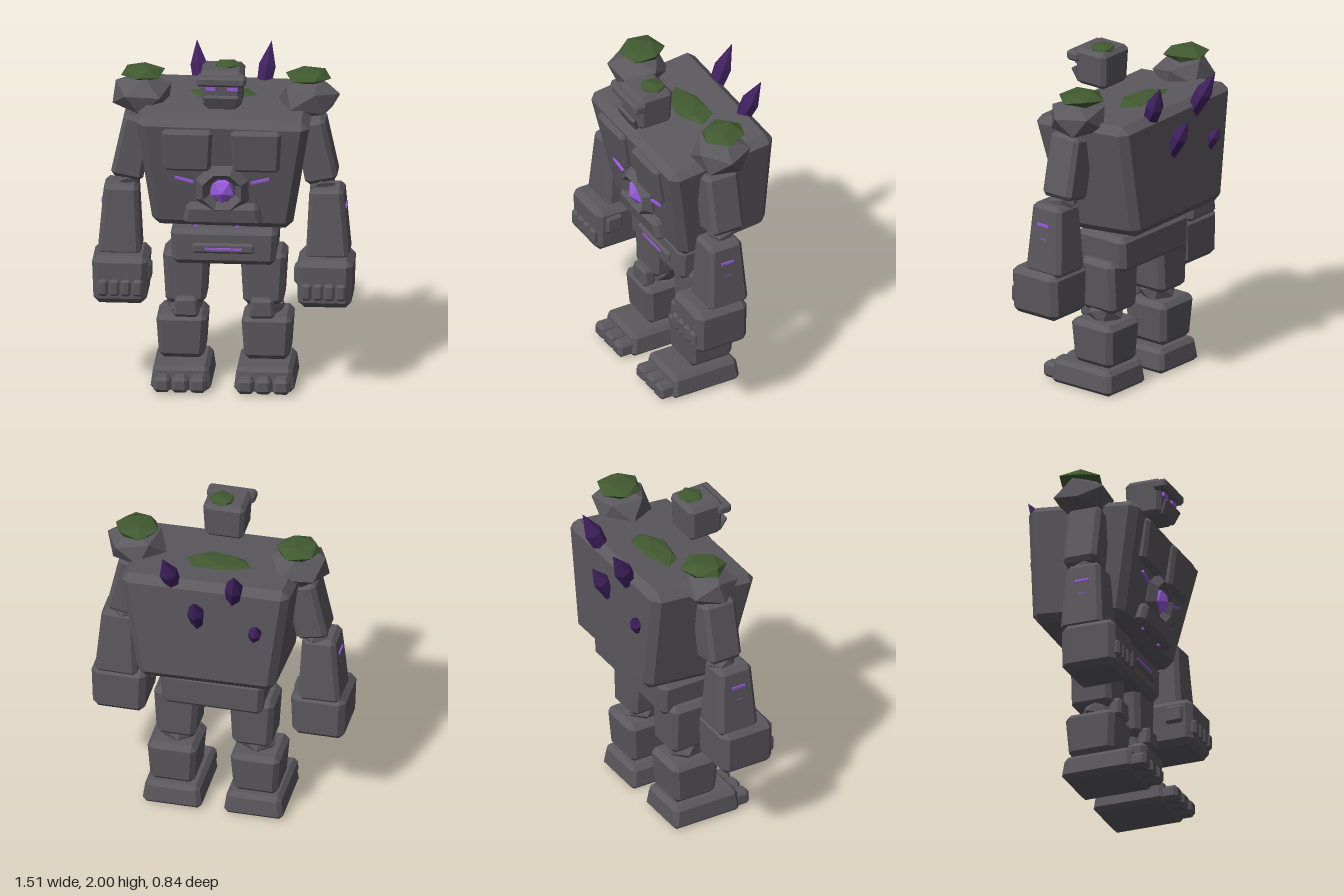
import * as THREE from 'three';
import { ConvexGeometry } from 'three/addons/geometries/ConvexGeometry.js';

const material = (name, color) => {
  const m = new THREE.MeshStandardMaterial({ color });
  m.name = name;
  return m;
};

export function createModel() {
  const stone = material('stone', 0x5b585e);
  const darkStone = material('dark stone', 0x454248);
  const moss = material('moss', 0x415a31);
  const glow = material('glowing purple', 0x9a5ae0);
  const crystalMat = material('crystal purple', 0x40205f);

  const root = new THREE.Group();
  root.name = 'rockGolem';

  const add = (parent, name, geometry, mat, pos, rot = [0, 0, 0]) => {
    const mesh = new THREE.Mesh(geometry, mat);
    mesh.name = name;
    mesh.position.set(...pos);
    mesh.rotation.set(...rot);
    parent.add(mesh);
    return mesh;
  };

  // Faceted normals on any built-in geometry
  const facet = (g) => {
    const flat = g.index ? g.toNonIndexed() : g;
    flat.computeVertexNormals();
    return flat;
  };

  // Chamfered block; size is the bottom, tx and tz scale the top
  const block = (parent, name, [w, h, d], pos, { tx = 1, tz = 1, bevel = 0.025, rot, mat = stone } = {}) => {
    const points = [];
    for (const sx of [-1, 1]) for (const sy of [-1, 1]) for (const sz of [-1, 1]) {
      const x = (w / 2) * (sy > 0 ? tx : 1), y = h / 2, z = (d / 2) * (sy > 0 ? tz : 1);
      for (const [a, b, c] of [[0, 1, 1], [1, 0, 1], [1, 1, 0]]) {
        points.push(new THREE.Vector3(sx * (x - a * bevel), sy * (y - b * bevel), sz * (z - c * bevel)));
      }
    }
    return add(parent, name, new ConvexGeometry(points), mat, pos, rot);
  };

  const bar = (parent, name, size, pos, rot) =>
    add(parent, name, new THREE.BoxGeometry(...size), glow, pos, rot);

  // Rough stone or moss lump
  const lump = (parent, name, mat, [rx, ry, rz], pos, rot = [0, 0, 0]) => {
    const g = new THREE.IcosahedronGeometry(1, 0);
    g.rotateX(rot[0]).rotateY(rot[1]).rotateZ(rot[2]).scale(rx, ry, rz);
    return add(parent, name, facet(g), mat, pos);
  };

  // ---- Torso ----
  const torso = new THREE.Group();
  torso.name = 'torso';
  root.add(torso);
  block(torso, 'chest', [0.82, 0.7, 0.58], [0, 1.355, 0], { tx: 1.22, tz: 1.19, bevel: 0.045, rot: [0.1, 0, -0.015] });
  for (const s of [-1, 1]) {
    block(torso, 'chestPlate', [0.27, 0.26, 0.1], [s * 0.2, 1.49, 0.335], { tx: 1.09, bevel: 0.02, rot: [0.15, 0, 0] });
    bar(torso, 'chestCrack', [0.11, 0.014, 0.014], [s * 0.22, 1.295, 0.325], [0.15, 0, s * 0.27]);
    bar(torso, 'bellyCrack', [0.02, 0.012, 0.012], [s * 0.12 - 0.035, 1.0, 0.28]);
  }
  block(torso, 'bellyPlate', [0.46, 0.13, 0.12], [0, 1.085, 0.265], { tx: 0.92, rot: [0.15, 0, 0] });

  // Core set in an octagonal ring
  const core = new THREE.Group();
  core.name = 'core';
  core.position.set(0, 1.235, 0.305);
  core.rotation.x = 0.15;
  torso.add(core);
  const ring = new THREE.TorusGeometry(0.12, 0.046, 4, 8).rotateZ(Math.PI / 8);
  add(core, 'coreRing', facet(ring), stone, [0, 0, 0.005]);
  add(core, 'coreRecess', facet(new THREE.CylinderGeometry(0.11, 0.11, 0.02, 8)), darkStone, [0, 0, 0], [Math.PI / 2, 0, 0]);
  lump(core, 'coreGem', glow, [0.08, 0.08, 0.06], [0, 0, 0.01], [0.55, 0, 0]);

  // ---- Pelvis ----
  block(root, 'pelvis', [0.6, 0.215, 0.35], [0, 0.845, 0.03], { tx: 1.03, bevel: 0.03 });
  block(root, 'beltPlate', [0.36, 0.06, 0.04], [0, 0.843, 0.205], { bevel: 0.012 });
  bar(root, 'beltGlow', [0.21, 0.013, 0.01], [0, 0.843, 0.225]);

  // ---- Head ----
  const head = new THREE.Group();
  head.name = 'head';
  root.add(head);
  block(head, 'skull', [0.23, 0.225, 0.215], [0, 1.86, 0.262], { tx: 1.08, tz: 1.05, bevel: 0.025 });
  block(head, 'brow', [0.285, 0.06, 0.085], [0, 1.92, 0.375], { bevel: 0.014 });
  block(head, 'jaw', [0.17, 0.095, 0.025], [0, 1.79, 0.385], { tx: 1.22, bevel: 0.008, rot: [0.4, 0, 0] });
  for (const s of [-1, 1]) bar(head, 'eye', [0.06, 0.022, 0.02], [s * 0.063, 1.872, 0.378]);
  lump(head, 'headMoss', moss, [0.085, 0.03, 0.08], [0.025, 1.97, 0.235], [0.3, 0.4, 0.5]);
  lump(root, 'backMoss', moss, [0.21, 0.022, 0.11], [-0.02, 1.71, -0.035], [0.55, 0.3, 0.05]);

  // ---- Arms ----
  for (const s of [-1, 1]) {
    const arm = new THREE.Group();
    arm.name = s > 0 ? 'leftArm' : 'rightArm';
    root.add(arm);
    lump(arm, 'shoulder', stone, [0.19, 0.125, 0.18], [s * 0.485, 1.725, 0.045], [0.2, s * 0.4, 0.35]);
    lump(arm, 'shoulderMoss', moss, [0.138, 0.042, 0.14], [s * 0.48, 1.848, 0.025], [0.55, s * 0.3, 0.1]);
    block(arm, 'upperArm', [0.19, 0.38, 0.21], [s * 0.53, 1.43, 0.08], { tx: 0.95, rot: [0, 0, s * 0.2], bevel: 0.025 });
    lump(arm, 'elbow', stone, [0.09, 0.07, 0.09], [s * 0.565, 1.225, 0.09], [0.3, 0, 0.3]);
    block(arm, 'forearm', [0.25, 0.42, 0.26], [s * 0.6, 1.005, 0.12], { tx: 0.8, tz: 0.82, bevel: 0.025, rot: [0, 0, s * 0.02] });
    for (const [y, length] of [[1.1, 0.085], [1.01, 0.045], [0.92, 0.09]]) {
      bar(arm, 'forearmGlow', [0.014, 0.015, length], [s * 0.705, y, 0.124]);
    }
    block(arm, 'fist', [0.31, 0.285, 0.335], [s * 0.593, 0.672, 0.172], { tx: 1.05, bevel: 0.035 });
    block(arm, 'thumb', [0.06, 0.11, 0.11], [s * 0.444, 0.715, 0.235], { bevel: 0.015 });
    for (let i = 0; i < 4; i++) {
      block(arm, 'finger', [0.06, 0.1, 0.06], [s * (0.49 + i * 0.067), 0.632, 0.33], { bevel: 0.015 });
    }
  }

  // ---- Legs ----
  for (const s of [-1, 1]) {
    const leg = new THREE.Group();
    leg.name = s > 0 ? 'leftLeg' : 'rightLeg';
    root.add(leg);
    block(leg, 'thigh', [0.235, 0.32, 0.25], [s * 0.225, 0.64, 0.025], { tx: 1.13, bevel: 0.03 });
    lump(leg, 'kneeJoint', stone, [0.12, 0.1, 0.11], [s * 0.235, 0.46, 0.04], [0.3, 0.2, 0.3]);
    block(leg, 'kneecap', [0.15, 0.12, 0.08], [s * 0.22, 0.47, 0.155], { tx: 0.9, bevel: 0.018 });
    block(leg, 'shin', [0.265, 0.265, 0.28], [s * 0.247, 0.288, 0.037], { tx: 1.1, tz: 1.1, bevel: 0.03 });
    block(leg, 'foot', [0.35, 0.145, 0.445], [s * 0.242, 0.075, 0.093], { tx: 0.93, tz: 0.95, bevel: 0.025 });
    for (let i = -1; i <= 1; i++) {
      block(leg, 'toe', [0.1, 0.092, 0.11], [s * 0.242 + i * 0.104, 0.058, 0.335], { tx: 0.92, bevel: 0.02 });
    }
  }

  // ---- Back crystals: six-sided shards from base to tip ----
  const up = new THREE.Vector3(0, 1, 0);
  const crystals = [
    [[-0.155, 1.58, -0.24], [-0.2, 1.905, -0.42], 0.055],
    [[0.185, 1.6, -0.22], [0.238, 1.925, -0.365], 0.055],
    [[0.045, 1.42, -0.27], [0.045, 1.675, -0.415], 0.05],
    [[-0.285, 1.38, -0.28], [-0.315, 1.52, -0.355], 0.042],
  ];
  for (const [from, to, r] of crystals) {
    const a = new THREE.Vector3(...from), b = new THREE.Vector3(...to);
    const h = a.distanceTo(b);
    const profile = [[0, 0], [r * 0.7, 0], [r, h * 0.6], [0, h]].map((p) => new THREE.Vector2(...p));
    const shard = add(root, 'backCrystal', facet(new THREE.LatheGeometry(profile, 6)), crystalMat, from);
    shard.quaternion.setFromUnitVectors(up, b.sub(a).normalize());
  }

  return root;
}
